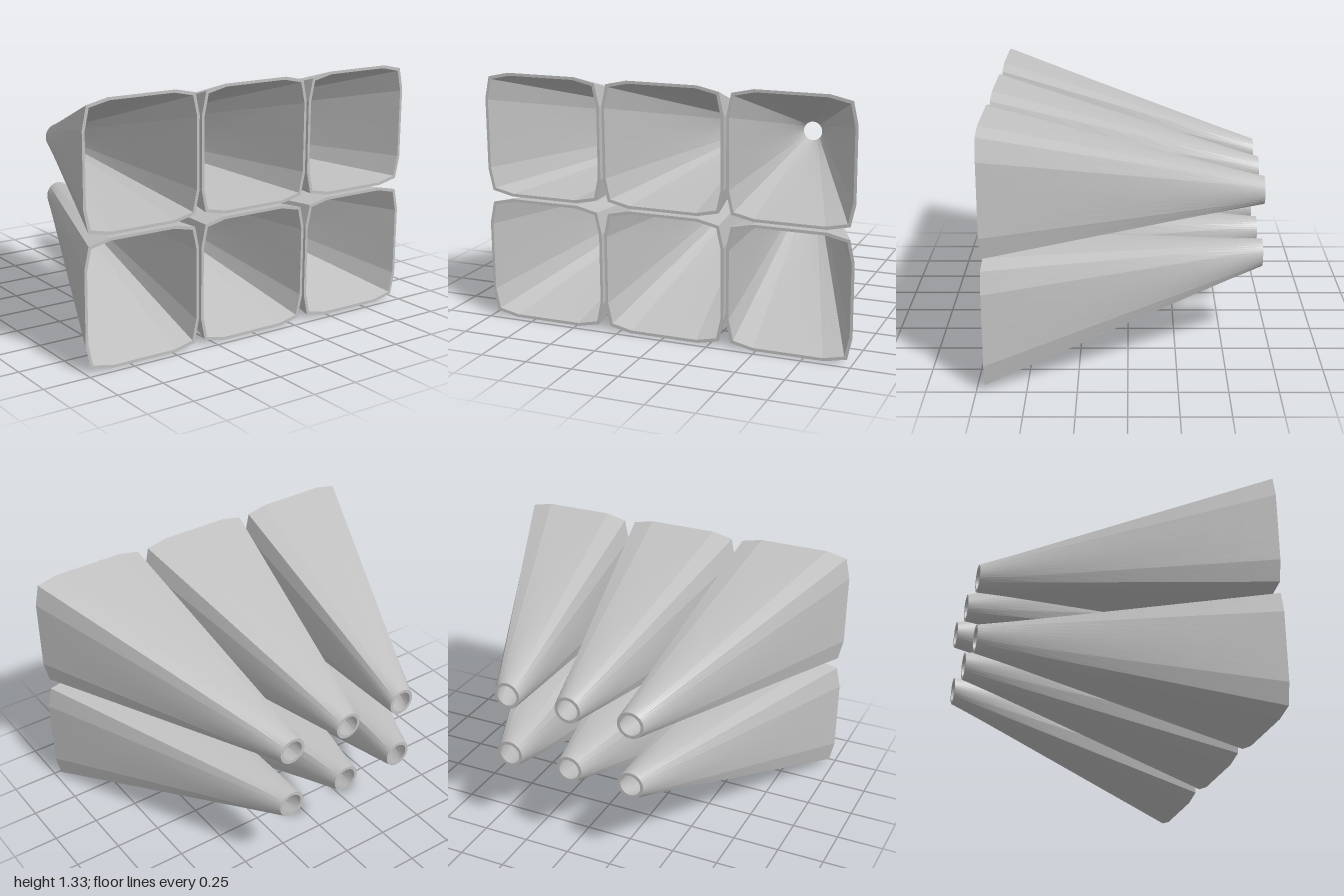
import * as THREE from 'three';

const SIDES = 48, STEPS = 9, LENGTH = 1.42;

// Radius of the mouth outline at an angle: a square with chamfered, pointed corners
function mouthRadius(angle, half) {
  const c = Math.abs(Math.cos(angle)), s = Math.abs(Math.sin(angle));
  const a = Math.max(c, s), b = Math.min(c, s);
  return Math.min(half / a, (half * 1.1) / (a * 0.977 + b * 0.213));
}

// Hollow funnel lofted from the square mouth to an offset round outlet
function funnelGeometry(mouth, outlet) {
  const ring = (t, half, radius) => Array.from({ length: SIDES }, (_, i) => {
    const angle = (i / SIDES) * Math.PI * 2;
    const r = THREE.MathUtils.lerp(mouthRadius(angle, half), radius, t);
    return [
      THREE.MathUtils.lerp(mouth[0], outlet[0], t) + r * Math.cos(angle),
      THREE.MathUtils.lerp(mouth[1], outlet[1], t) + r * Math.sin(angle),
      LENGTH * (0.5 - t),
    ];
  });

  // Outer wall front to back, then inner wall back to front, closed by the two rims
  const rings = [];
  for (let k = 0; k <= STEPS; k++) rings.push(ring(k / STEPS, 0.328, 0.073));
  for (let k = STEPS; k >= 0; k--) rings.push(ring(k / STEPS, 0.313, 0.056));

  const positions = [];
  rings.forEach((here, k) => {
    const next = rings[(k + 1) % rings.length];
    for (let i = 0; i < SIDES; i++) {
      const j = (i + 1) % SIDES;
      positions.push(...here[i], ...next[i], ...here[j]);
      positions.push(...here[j], ...next[i], ...next[j]);
    }
  });
  const geometry = new THREE.BufferGeometry();
  geometry.setAttribute('position', new THREE.Float32BufferAttribute(positions, 3));
  geometry.computeVertexNormals();
  return geometry;
}

export function createModel() {
  const model = new THREE.Group();
  model.name = 'funnelArray';
  const grey = new THREE.MeshStandardMaterial({ color: 0xc0c0c0 });
  grey.name = 'light grey';

  // Two rows of three funnels converging towards the back
  const rows = [
    { name: 'lower', mouthY: 0.331, outletY: 0.493 },
    { name: 'upper', mouthY: 1.001, outletY: 0.841 },
  ];
  const columns = [['Right', -1], ['Middle', 0], ['Left', 1]];
  for (const row of rows) {
    for (const [side, x] of columns) {
      const funnel = new THREE.Mesh(
        funnelGeometry([x * 0.67, row.mouthY], [x * 0.35, row.outletY]), grey);
      funnel.name = `${row.name}${side}Funnel`;
      model.add(funnel);
    }
  }
  return model;
}
